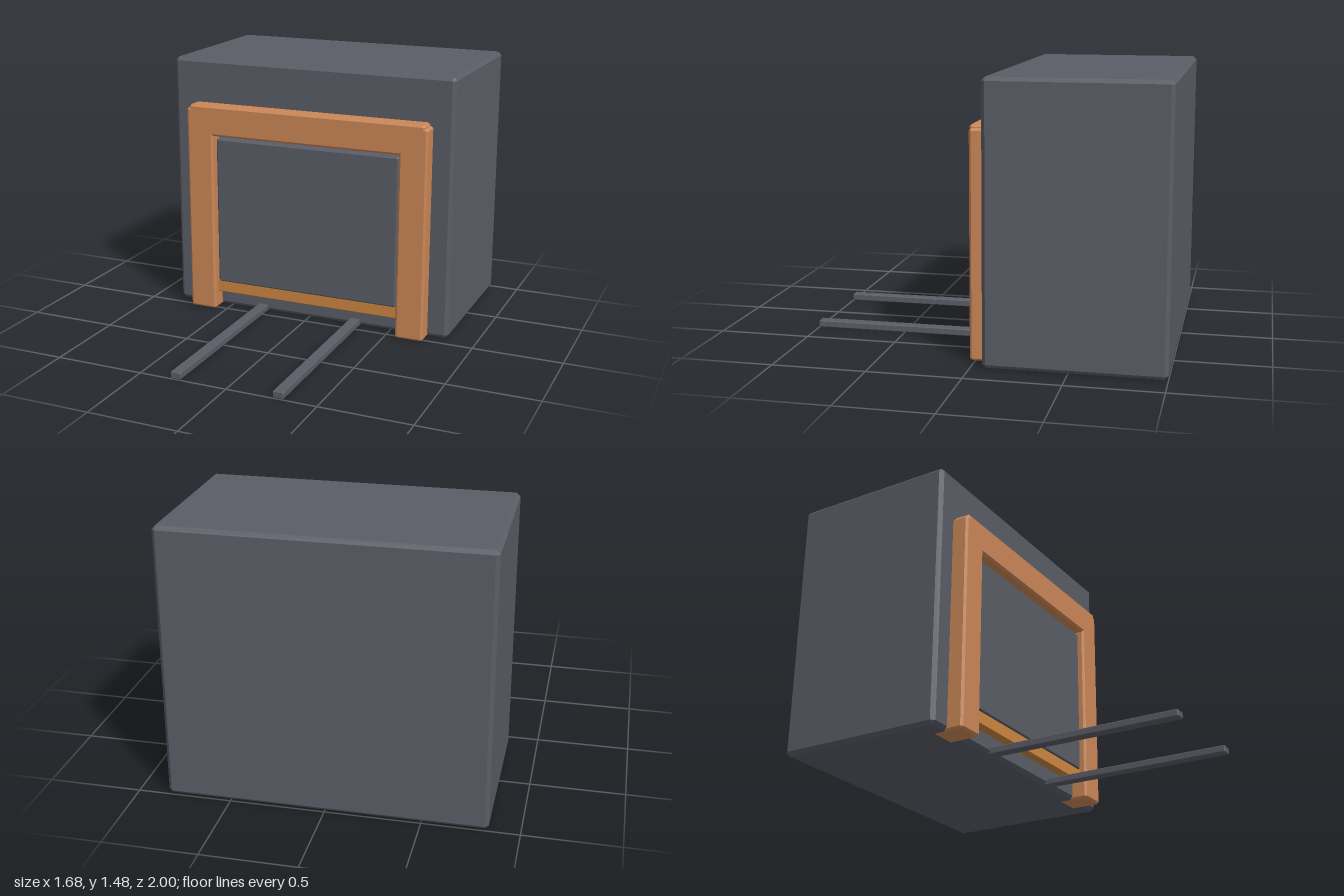
import * as THREE from 'three';
import { ConvexGeometry } from 'three/addons/geometries/ConvexGeometry.js';

// Box between two corners with every edge chamfered by c
function chamferBox(name, material, min, max, c) {
  const points = [];
  for (const sx of [0, 1]) for (const sy of [0, 1]) for (const sz of [0, 1]) {
    const side = [sx, sy, sz];
    // three points per corner, each lying on one of its faces
    for (let face = 0; face < 3; face++) {
      const p = side.map((s, axis) => {
        const inset = axis === face ? 0 : c;
        return s ? max[axis] - inset : min[axis] + inset;
      });
      points.push(new THREE.Vector3(...p));
    }
  }
  const mesh = new THREE.Mesh(new ConvexGeometry(points), material);
  mesh.name = name;
  return mesh;
}

export function createModel() {
  const slate = new THREE.MeshStandardMaterial({ name: 'slate grey', color: 0x5b5d66 });
  const copper = new THREE.MeshStandardMaterial({ name: 'copper orange', color: 0xcb8757 });
  const amber = new THREE.MeshStandardMaterial({ name: 'amber', color: 0xcc8640 });

  const model = new THREE.Group();
  model.name = 'chamber';

  // Main housing
  model.add(chamferBox('housing', slate, [-0.84, 0.002, -1], [0.84, 1.475, -0.06], 0.02));

  // Door surround: two posts and a lintel
  const surround = new THREE.Group();
  surround.name = 'doorSurround';
  surround.add(chamferBox('lintel', copper, [-0.705, 1.05, -0.15], [0.705, 1.225, 0.03], 0.012));
  for (const s of [-1, 1]) {
    const x = s * 0.641;
    surround.add(chamferBox(s < 0 ? 'rightPost' : 'leftPost', copper,
      [x - 0.081, 0, -0.15], [x + 0.081, 1.207, 0.03], 0.012));
  }
  model.add(surround);

  // Door panel and the sill below it
  model.add(chamferBox('door', slate, [-0.552, 0.165, -0.08], [0.552, 1.032, 0], 0.01));
  model.add(chamferBox('sill', amber, [-0.565, 0.1, -0.08], [0.565, 0.175, -0.008], 0.004));

  // Floor rails running out of the opening
  for (const s of [-1, 1]) {
    const x = s * 0.29;
    model.add(chamferBox(s < 0 ? 'rightRail' : 'leftRail', slate,
      [x - 0.03, 0.003, -0.08], [x + 0.03, 0.04, 1], 0.004));
  }
  return model;
}
